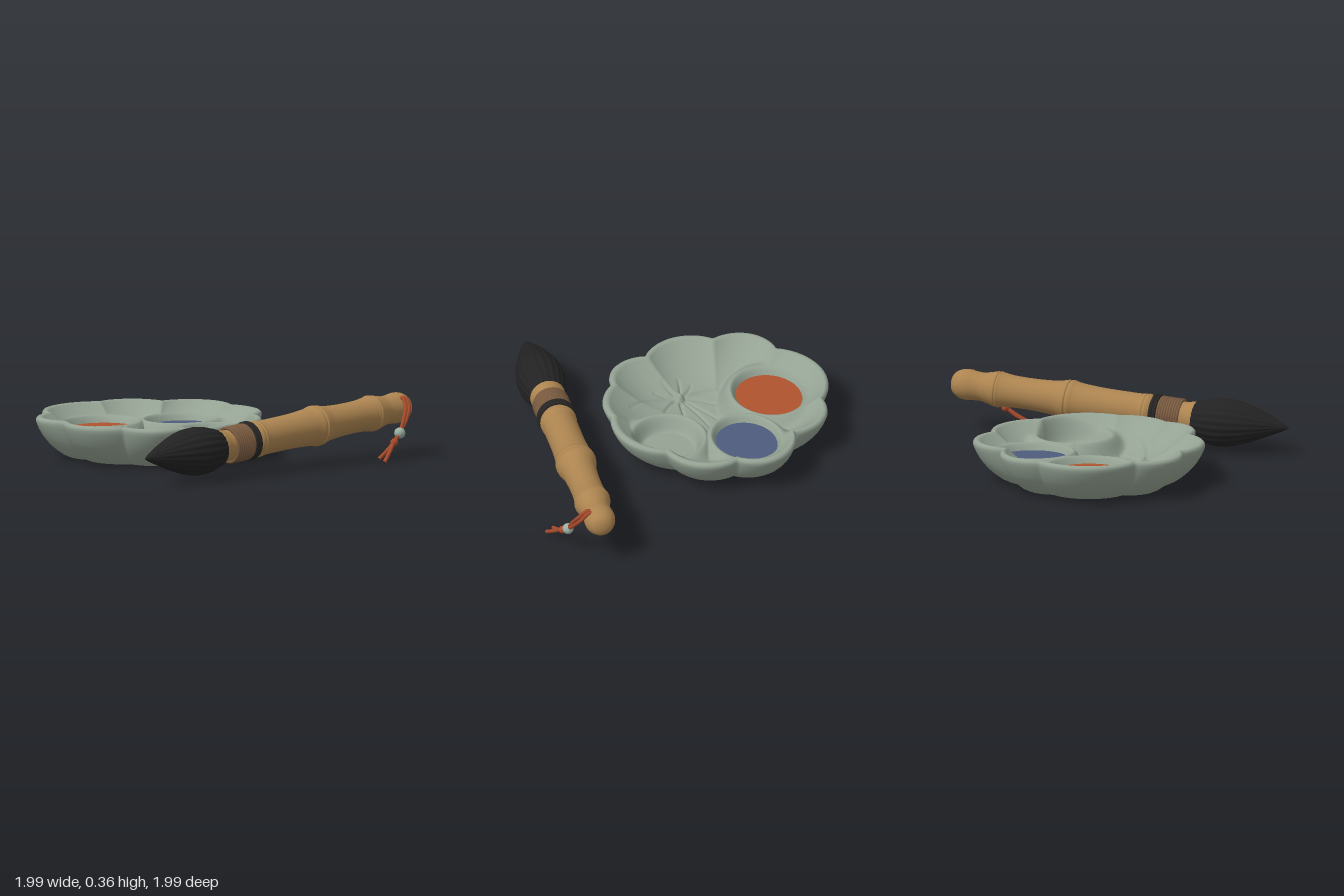
import * as THREE from 'three';

const mat = (name, color) => Object.assign(new THREE.MeshStandardMaterial({ color }), { name });
const glaze = mat('celadon glaze', 0x94a293);
const orange = mat('orange paint', 0xb0532f);
const blue = mat('blue paint', 0x4e5c7e);
const bamboo = mat('bamboo', 0xac8450);
const hair = mat('black bristles', 0x222222);
const thread = mat('brown thread', 0x7a5b40);
const darkCord = mat('dark cord', 0x272524);
const redCord = mat('red cord', 0xa54a2b);
const beadMat = mat('pale bead', 0x9aaea2);

const V = (x, y, z) => new THREE.Vector3(x, y, z);
const smooth = (a, b, x) => THREE.MathUtils.smoothstep(x, a, b);
const lerp = THREE.MathUtils.lerp;

function add(parent, name, geometry, material) {
  const m = new THREE.Mesh(geometry, material);
  m.name = name;
  parent.add(m);
  return m;
}

// ---------- Dish ----------
const CX = -0.335, CZ = -0.096;
// notches between petals: [angle in degrees, radius]
const notches = [[-74, .605], [-34, .605], [10, .65], [39, .64], [70, .6], [112, .595],
  [149, .595], [205, .59], [243, .54], [286, .605]];
const peaks = [.665, .68, .675, .685, .665, .67, .665, .63, .67];

function outline(deg) {
  const a = ((deg + 74) % 360 + 360) % 360 - 74;
  let i = 0;
  while (i < 8 && a >= notches[i + 1][0]) i++;
  const [a0, r0] = notches[i], [a1, r1] = notches[i + 1];
  const t = (a - a0) / (a1 - a0), base = lerp(r0, r1, t);
  return base + (peaks[i] - (r0 + r1) / 2) * Math.pow(Math.max(0, Math.sin(Math.PI * t)), .8);
}

// wells: centre and radii
const wells = [
  { x: -.66, z: -.07, rx: .19, rz: .215, paint: orange, name: 'orangePaint' },
  { x: -.35, z: -.42, rx: .175, rz: .2, paint: blue, name: 'bluePaint' },
  { x: .055, z: -.22, rx: .185, rz: .19 },
];

// carved veins fanning out of the flower centre: [end x, end z, bend]
const FX = -.22, FZ = .2;
const veins = [[-.55, .15, .03], [-.45, -.01, .035], [-.37, -.18, .03], [-.27, -.15, .02], [-.17, -.2, -.02],
  [-.05, .04, -.03], [.12, .15, -.035], [-.33, .27, -.01], [-.27, .33, -.01], [-.17, .33, .01], [-.09, .27, .01]];

function interior(x, z, s) {
  const bowl = .065 + .18 * Math.pow(s / .94, 3);
  let h = bowl;
  for (const w of wells) {
    const d = Math.hypot((x - w.x) / w.rx, (z - w.z) / w.rz);
    if (d > 1.6) continue;
    const lip = Math.max(bowl, lerp(.185, bowl, smooth(1.15, 1.6, d)));
    const y = lerp(.095, lip, smooth(.8, 1.15, d));
    h = d < 1.15 ? y : Math.max(h, y);
    if (d < 1.15) return h;
  }
  let groove = 0;
  const px = x - FX, pz = z - FZ;
  for (const [ex, ez, bend] of veins) {
    const dx = ex - FX, dz = ez - FZ, len = Math.hypot(dx, dz);
    const t = (px * dx + pz * dz) / (len * len);
    if (t < .08 || t > 1) continue;
    const off = (px * dz - pz * dx) / len - bend * 4 * t * (1 - t);
    groove = Math.max(groove, .016 * (1 - .7 * t) * Math.exp(-((off / .008) ** 2)));
  }
  return h - groove + .028 * Math.exp(-((Math.hypot(px, pz) / .024) ** 4));
}

function dishGeometry() {
  const N = 320, inner = 105;
  // outside profile: [outline scale, height]
  const rings = [[.001, .01], [.67, .01], [.69, .011], [.71, .014], [.76, .029], [.81, .052], [.86, .08], [.905, .112],
    [.94, .143], [.97, .178], [.988, .205], [.998, .225], [.994, .238], [.982, .247], [.966, .25], [.952, .248]];
  for (let i = 0; i <= inner; i++) rings.push([Math.max(.001, .94 * (1 - i / inner)), null]);
  const pos = [], idx = [];
  rings.forEach(([s, y], i) => {
    for (let j = 0; j < N; j++) {
      const deg = j * 360 / N, a = deg * Math.PI / 180, r = outline(deg) * s;
      const x = CX + r * Math.cos(a), z = CZ + r * Math.sin(a);
      pos.push(x, y ?? interior(x, z, s), z);
      if (i === rings.length - 1) continue;
      const k = (j + 1) % N, p = i * N + j, q = i * N + k;
      idx.push(p, p + N, q, q, p + N, q + N);
    }
  });
  const g = new THREE.BufferGeometry();
  g.setAttribute('position', new THREE.Float32BufferAttribute(pos, 3));
  g.setIndex(idx);
  g.computeVertexNormals();
  return g;
}

function createDish() {
  const dish = new THREE.Group();
  dish.name = 'flowerDish';
  add(dish, 'petalBowl', dishGeometry(), glaze);
  for (const w of wells) {
    if (!w.paint) continue;
    const pool = add(dish, w.name, new THREE.CircleGeometry(1.03, 64).rotateX(-Math.PI / 2), w.paint);
    pool.scale.set(w.rx, 1, w.rz);
    pool.position.set(w.x, .143, w.z);
  }
  return dish;
}

// ---------- Brush: profiles are [radius, z], the axis is tilted afterwards ----------
const K = 1.03;
function lathe(profile, steps, sides) {
  const curve = new THREE.SplineCurve(profile.map(([r, z]) => new THREE.Vector2(r, -z * K)));
  const pts = curve.getPoints(steps);
  pts.forEach(p => { p.x = Math.max(0, p.x); });
  return new THREE.LatheGeometry(pts, sides);
}

function createBrush() {
  const brush = new THREE.Group();
  brush.name = 'brush';
  brush.position.set(.607, .213, 0);
  brush.quaternion.setFromUnitVectors(V(0, 1, 0), V(.235, .075, -1).normalize());

  // bamboo handle with swollen nodes and a rounded end
  add(brush, 'bambooHandle', lathe([[0, .452], [.07, .45], [.1, .44], [.1, .42], [.091, .38], [.091, .3], [.094, .2],
    [.102, .175], [.106, .16], [.101, .15], [.105, .14], [.1, .11], [.099, 0], [.1, -.12], [.108, -.24], [.117, -.28],
    [.117, -.295], [.11, -.302], [.116, -.31], [.112, -.33], [.1, -.38], [.092, -.5], [.092, -.62], [.1, -.69], [.105, -.71],
    [.098, -.718], [.103, -.727], [.094, -.76], [.083, -.81], [.084, -.85], [.089, -.9], [.082, -.94], [.06, -.975],
    [.03, -.99], [0, -.994]], 240, 48), bamboo);

  // pointed, lightly ridged bristles
  const tuft = lathe([[0, .985], [.022, .95], [.056, .88], [.1, .775], [.126, .69], [.138, .61], [.133, .54],
    [.115, .47], [.092, .43], [0, .42]], 50, 120);
  const p = tuft.attributes.position;
  for (let i = 0; i < p.count; i++) {
    const x = p.getX(i), z = p.getZ(i), f = 1 + .018 * Math.cos(20 * Math.atan2(z, x));
    const lift = .03 * smooth(.42, 1, -p.getY(i) / K);
    p.setXYZ(i, x * f, p.getY(i), z * f + lift);
  }
  tuft.computeVertexNormals();
  add(brush, 'bristles', tuft, hair);

  // thread wrapping and dark cord
  const ring = (name, z, r, tube, m) =>
    add(brush, name, new THREE.TorusGeometry(r, tube, 8, 48).rotateX(Math.PI / 2), m).position.set(0, -z * K, 0);
  for (let i = 0; i < 9; i++) ring('threadWrap', .24 + i * .0145, .098, .0095, thread);
  for (let i = 0; i < 2; i++) ring('darkCordWrap', .2 + i * .022, .1, .014, darkCord);
  return brush;
}

// ---------- Hanging cord ----------
function createTassel() {
  const tassel = new THREE.Group();
  tassel.name = 'hangingCord';
  const cord = (name, pts) =>
    add(tassel, name, new THREE.TubeGeometry(new THREE.CatmullRomCurve3(pts), 32, .011, 8), redCord);
  for (const e of [-1, 1]) {
    cord('loopStrand', [V(.84, .325, -.89 + e * .008), V(.885, .345, -.89 + e * .012), V(.925, .3, -.87 + e * .016),
      V(.945, .23, -.815 + e * .014), V(.95, .165, -.76)]);
    cord('tailStrand', [V(.95, .16, -.755), V(.955, .115, -.69), V(.957 + e * .012, .07, -.63),
      V(.966 + e * .02, .017 + (1 - e) * .008, -.55)]);
  }
  const ball = (name, r, m, x, y, z) => add(tassel, name, new THREE.SphereGeometry(r, 24, 16), m).position.set(x, y, z);
  ball('bead', .032, beadMat, .95, .162, -.757);
  ball('cordKnot', .023, redCord, .955, .115, -.695);
  return tassel;
}

export function createModel() {
  const model = new THREE.Group();
  model.name = 'paintDishAndBrush';
  model.add(createDish(), createBrush(), createTassel());
  return model;
}
